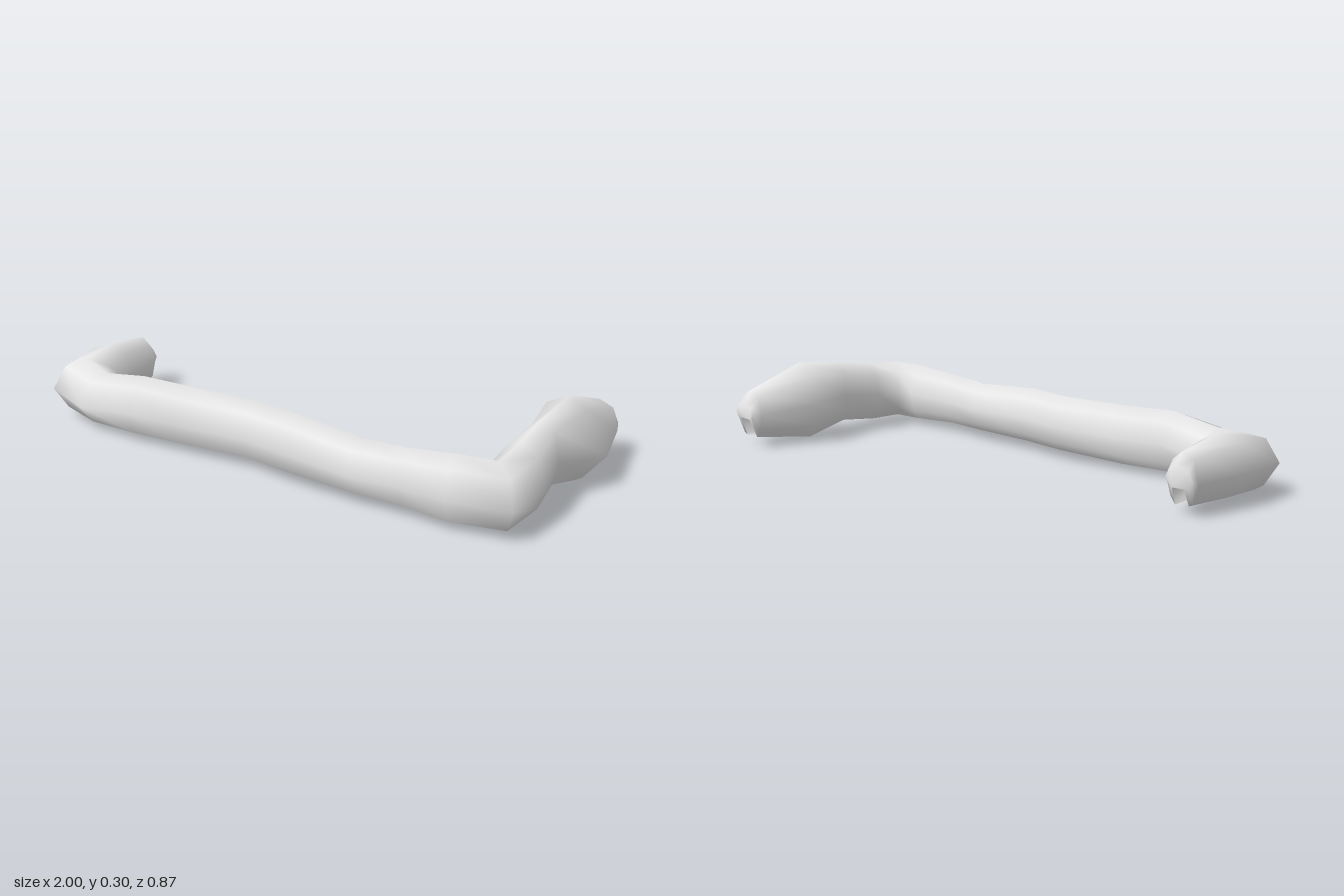
import * as THREE from 'three';

// Cross-section of the hollow shell, open below: across (-1 inner, 1 outer), height (0..1)
const PROFILE = [[-0.5, 0], [-0.82, 0.16], [-1, 0.48], [-0.7, 0.84], [-0.1, 1], [0.76, 0.88], [1, 0.42], [0.74, 0.05], [0.45, 0]];

// Sections along the path: inner x, inner z, outer x, outer z, inner bottom, outer bottom, top, squareness of the outer side
const SECTIONS = [
  // long arm
  [0.815, -0.437, 0.925, -0.437, 0.115, 0.115, 0.165, 1],
  [0.80, -0.41, 0.935, -0.41, 0.045, 0.045, 0.222, 0.9],
  [0.718, -0.20, 1.0, -0.18, 0.03, -0.01, 0.303, 0.5],
  [0.773, -0.02, 0.92, 0.02, 0.055, 0.055, 0.28, 0.9],
  [0.753, 0.13, 0.957, 0.19, 0.04, 0.037, 0.256, 0.9],
  // corner
  [0.77, 0.245, 0.942, 0.388, 0.035, 0.033, 0.245, 0.9],
  [0.70, 0.255, 0.72, 0.418, 0.035, 0.025, 0.243, 1],
  // crossbar
  [0.51, 0.275, 0.55, 0.412, 0.04, 0.038, 0.225, 1],
  [0.35, 0.25, 0.36, 0.423, 0.04, 0.038, 0.215, 1],
  [0.08, 0.24, 0.09, 0.407, 0.04, 0.038, 0.235, 1],
  [-0.10, 0.215, -0.10, 0.382, 0.04, 0.038, 0.232, 1],
  [-0.37, 0.24, -0.40, 0.402, 0.03, 0.03, 0.235, 1],
  [-0.55, 0.265, -0.58, 0.415, 0.03, 0.03, 0.24, 1],
  [-0.72, 0.24, -0.79, 0.437, 0.03, 0.028, 0.212, 0.7],
  // corner and short arm
  [-0.80, 0.20, -0.977, 0.373, 0.003, 0.04, 0.225, 0.8],
  [-0.80, 0.12, -1.0, 0.17, 0.033, 0.037, 0.243, 0.8],
  [-0.845, -0.05, -0.965, -0.05, 0.035, 0.045, 0.215, 0.9],
  [-0.855, -0.077, -0.955, -0.072, 0.10, 0.10, 0.17, 1],
];

// Loft a smooth shell through the sections and cap both ends, leaving the underside open
function loftGeometry(sections) {
  const n = PROFILE.length;
  const positions = [], index = [];
  for (const [ix, iz, ox, oz, innerBottom, outerBottom, top, square] of sections) {
    for (const [u, v] of PROFILE) {
      const across = u > 0 && u < 1 ? u * square : u;
      const t = (across + 1) / 2;
      const bottom = THREE.MathUtils.lerp(innerBottom, outerBottom, t);
      positions.push(
        THREE.MathUtils.lerp(ix, ox, t),
        THREE.MathUtils.lerp(bottom, top, v),
        THREE.MathUtils.lerp(iz, oz, t));
    }
  }
  for (let i = 0; i < sections.length - 1; i++) {
    for (let j = 0; j < n - 1; j++) {
      const a = i * n + j, b = a + 1, c = a + n, d = b + n;
      index.push(a, c, b, b, c, d);
    }
  }
  const last = (sections.length - 1) * n;
  for (let j = 1; j < n - 1; j++) {
    index.push(0, j, j + 1);
    index.push(last, last + j + 1, last + j);
  }
  const geometry = new THREE.BufferGeometry();
  geometry.setAttribute('position', new THREE.Float32BufferAttribute(positions, 3));
  geometry.setIndex(index);
  geometry.computeVertexNormals();
  return geometry;
}

export function createModel() {
  const group = new THREE.Group();
  group.name = 'bentBar';
  const grey = new THREE.MeshStandardMaterial({ color: 0xe7e7e7, side: THREE.DoubleSide });
  grey.name = 'light grey';
  const bar = new THREE.Mesh(loftGeometry(SECTIONS), grey);
  bar.name = 'barWithArms';
  group.add(bar);
  return group;
}
